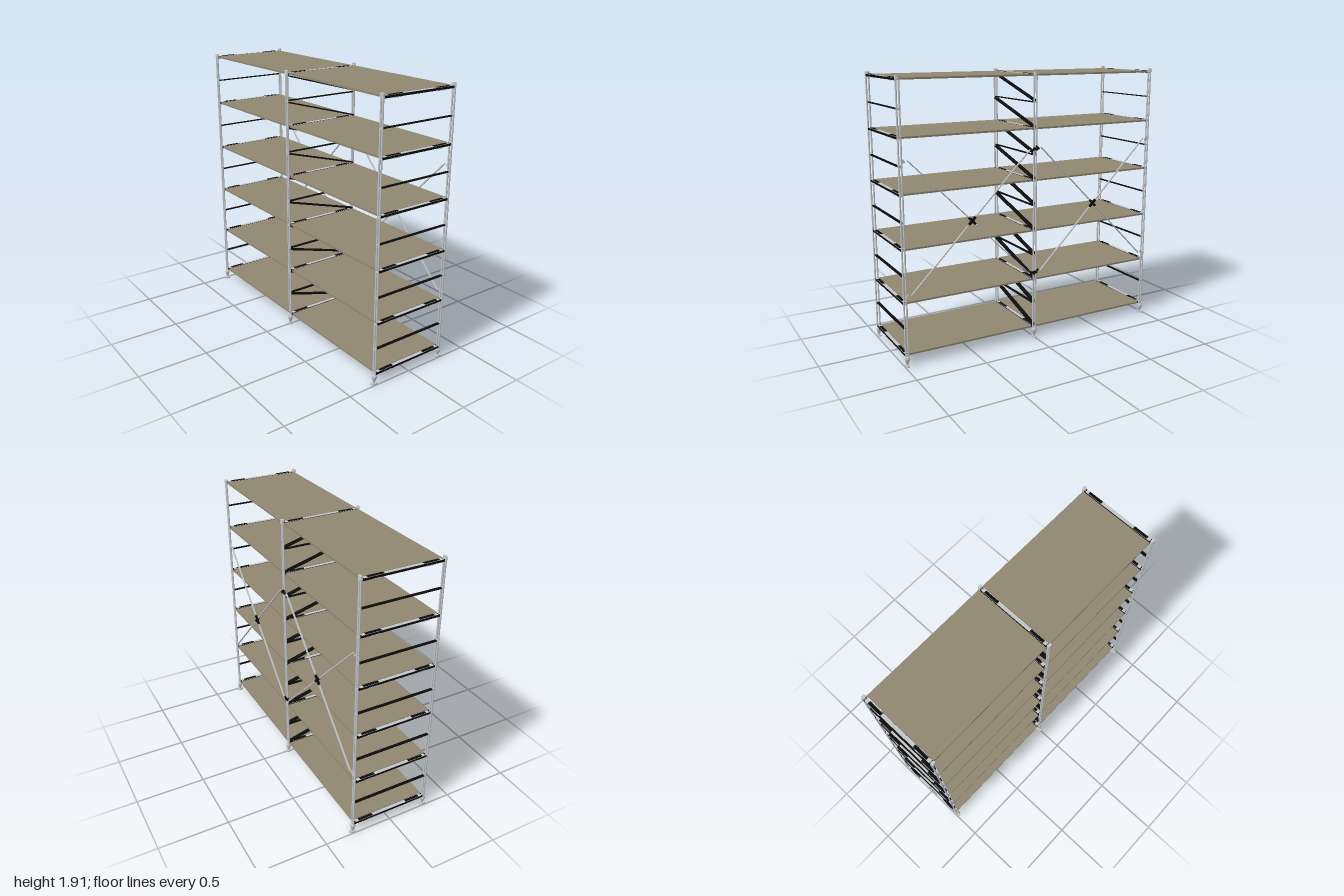
import * as THREE from 'three';

const mat = (name, color) => new THREE.MeshStandardMaterial({ name, color });

export function createModel() {
  const root = new THREE.Group();
  root.name = 'shelvingUnit';
  const steel = mat('lightSteel', 0xc2c5c8);
  const black = mat('blackMetal', 0x0c0c0c);
  const board = mat('taupeBoard', 0x908770);

  const add = (parent, name, geo, material, x = 0, y = 0, z = 0) => {
    const mesh = new THREE.Mesh(geo, material);
    mesh.name = name;
    mesh.position.set(x, y, z);
    parent.add(mesh);
    return mesh;
  };
  const group = (name, x = 0, y = 0, z = 0) => {
    const g = new THREE.Group();
    g.name = name;
    g.position.set(x, y, z);
    root.add(g);
    return g;
  };
  const box = (w, h, d) => new THREE.BoxGeometry(w, h, d);

  const frameX = [-0.982, 0, 0.982];
  const postZ = 0.288;
  const firstShelf = 0.08;
  const pitch = 0.362;
  const levels = 6;

  // Shared post geometry
  const tube = new THREE.CylinderGeometry(0.006, 0.006, 1.825, 12);
  const cap = new THREE.CylinderGeometry(0.016, 0.018, 0.026, 16).scale(1, 1, 0.7);
  const clip = box(0.018, 0.012, 0.012);
  const v = (r, y) => new THREE.Vector2(r, y);
  const foot = new THREE.LatheGeometry(
    [v(0.006, 0.008), v(0.007, 0.022), v(0.011, 0.028), v(0.018, 0.052), v(0.018, 0.06), v(0.012, 0.074), v(0, 0.076)], 16);
  const footPad = new THREE.CylinderGeometry(0.025, 0.025, 0.009, 20).scale(0.64, 1, 1);

  // Twin-tube posts with caps, rung clips and adjustable feet
  for (const x of frameX) {
    for (const z of [-postZ, postZ]) {
      const post = group('post', x, 0, z);
      for (const s of [-1, 1]) add(post, 'postTube', tube, steel, s * 0.0095, 0.9835);
      add(post, 'postCap', cap, steel, 0, 1.901);
      add(post, 'foot', foot, steel);
      add(post, 'footPad', footPad, steel, 0, 0.0045);
      for (let i = 0; i < levels * 2 - 1; i++) {
        add(post, 'rungClip', clip, steel, 0, firstShelf + i * pitch / 2);
      }
    }
  }

  // Ladder rungs: black double bars with a steel top strip and clips, slim bars halfway between
  const rail = box(0.006, 0.015, 0.56);
  const railStrip = box(0.024, 0.004, 0.54);
  const topClip = box(0.02, 0.004, 0.11);
  const underClip = box(0.03, 0.004, 0.06);
  const slimRung = box(0.02, 0.006, 0.56);
  for (const x of frameX) {
    const frame = group('ladderFrame', x);
    for (let i = 0; i < levels; i++) {
      const y = firstShelf + i * pitch;
      for (const s of [-1, 1]) {
        add(frame, 'shelfRail', rail, black, s * 0.0095, y);
        add(frame, 'topClip', topClip, black, 0, y + 0.0085, s * 0.19);
        add(frame, 'underClip', underClip, steel, 0, y - 0.0085, s * 0.18);
      }
      add(frame, 'railStrip', railStrip, steel, 0, y + 0.007);
      if (i < levels - 1) add(frame, 'slimRung', slimRung, black, 0, y + pitch / 2);
    }
  }

  // Sloping struts of the middle frame, high at the front
  const drop = 0.16;
  const strut = box(0.03, 0.008, Math.hypot(0.572, drop));
  const struts = group('middleStruts');
  for (let i = 0; i < (levels - 1) * 2; i++) {
    const y = firstShelf + (i + 0.5) * pitch / 2;
    add(struts, 'strut', strut, black, 0, y).rotation.x = -Math.atan2(drop, 0.572);
  }

  // Shelf boards, two bays
  const shelf = box(0.946, 0.012, 0.565);
  const shelves = group('shelves');
  for (const x of [-0.491, 0.491]) {
    for (let i = 0; i < levels; i++) {
      add(shelves, 'shelfBoard', shelf, board, x, firstShelf + i * pitch + 0.002, -0.002);
    }
  }

  // Rear cross braces: four rods meeting at a black cross joint
  const rod = box(0.59, 0.007, 0.011);
  const lug = box(0.034, 0.012, 0.008);
  const jointArm = box(0.068, 0.015, 0.014);
  for (const [x, y] of [[-0.491, 0.952], [0.491, 0.941]]) {
    const brace = group('crossBrace', x, y, -0.294);
    for (let k = 0; k < 4; k++) {
      const a = Math.PI / 4 + k * Math.PI / 2;
      const c = Math.cos(a), s = Math.sin(a);
      add(brace, 'braceRod', rod, steel, c * 0.337, s * 0.337).rotation.z = a;
      const inner = c * x < 0;
      add(brace, 'braceLug', lug, inner ? black : steel, Math.sign(c) * 0.475, Math.sign(s) * 0.447)
        .rotation.z = a;
    }
    for (const a of [-1, 1]) add(brace, 'braceJoint', jointArm, black).rotation.z = a * Math.PI / 4;
  }

  // Brackets fixing the braces to the rear middle post
  const bracket = box(0.036, 0.02, 0.01);
  for (const y of [0.5, 1.39]) add(root, 'braceBracket', bracket, black, 0, y, -0.294);

  return root;
}
